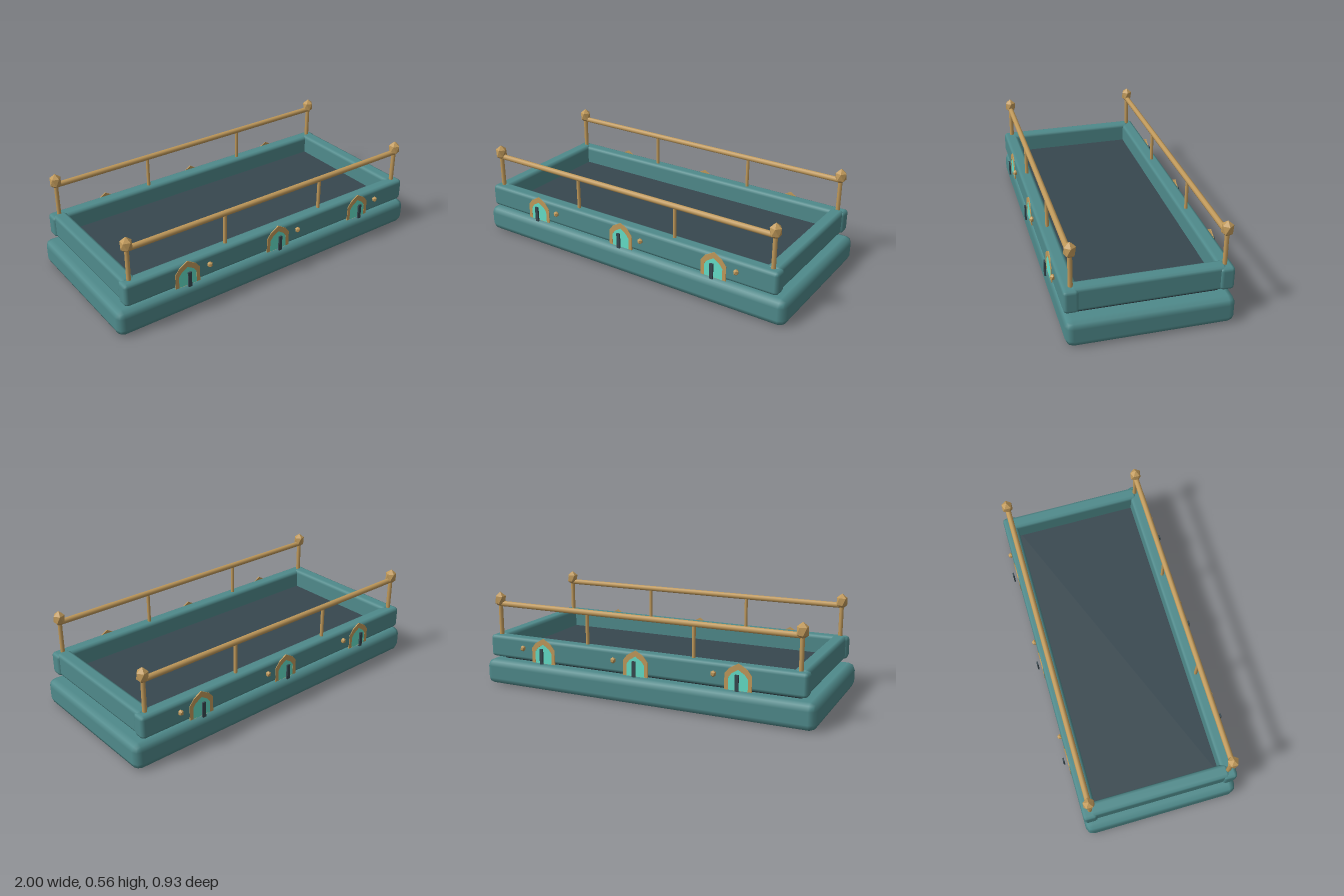
import * as THREE from 'three';
import { RoundedBoxGeometry } from 'three/addons/geometries/RoundedBoxGeometry.js';

const paint = (color, extra = {}) => new THREE.MeshStandardMaterial({ color, ...extra });

export function createModel() {
  const root = new THREE.Group();
  const teal = paint(0x4f8a8b);
  const slate = paint(0x37474f);
  const gold = paint(0xc19a5b);
  const facet = paint(0xc19a5b, { flatShading: true });
  const glass = paint(0x64dfc8);

  const add = (name, geometry, material, x, y, z, parent = root) => {
    const mesh = new THREE.Mesh(geometry, material);
    mesh.name = name;
    mesh.position.set(x, y, z);
    parent.add(mesh);
    return mesh;
  };
  // Box with a single-step bevel
  const bevelBox = (w, h, d, r) => new RoundedBoxGeometry(w, h, d, 1, r);

  // Twenty-sided gem standing on a vertex
  const gem = (rx, ry) => new THREE.IcosahedronGeometry(1, 0)
    .rotateZ(-Math.atan(2 / (1 + Math.sqrt(5)))).scale(rx, ry, rx);

  // Pointed arch outline, from the floor up
  const archPoints = (half, shoulder, peak) => [
    [-half, 0], [half, 0], [half, shoulder], [half * 0.68, shoulder + (peak - shoulder) * 0.5],
    [0, peak], [-half * 0.68, shoulder + (peak - shoulder) * 0.5], [-half, shoulder],
  ].map(([x, y]) => new THREE.Vector2(x, y));

  // Hull and deck
  add('base', bevelBox(2, 0.15, 0.88, 0.04), teal, 0, 0.075, 0);
  add('deck', bevelBox(1.83, 0.05, 0.75, 0.015), slate, 0, 0.175, 0);

  // Walls round the deck
  for (const s of [1, -1]) {
    add('sideWall', bevelBox(1.91, 0.13, 0.08, 0.02), teal, 0, 0.24, s * 0.4);
    add('endWall', bevelBox(0.08, 0.135, 0.8, 0.02), teal, s * 0.905, 0.2425, 0);
  }

  // Frame: an arch with a smaller arch cut through it
  const frameShape = new THREE.Shape(archPoints(0.075, 0.085, 0.145));
  frameShape.holes.push(new THREE.Path(archPoints(0.054, 0.065, 0.112).reverse()));
  const frameGeo = new THREE.ExtrudeGeometry(frameShape, { depth: 0.006, bevelEnabled: false });
  const paneGeo = new THREE.ExtrudeGeometry(new THREE.Shape(archPoints(0.056, 0.067, 0.114)),
    { depth: 0.003, bevelEnabled: false });

  const postGeo = new THREE.CylinderGeometry(0.0125, 0.0125, 0.2, 8);
  const midPostGeo = new THREE.CylinderGeometry(0.01, 0.01, 0.19, 8);
  const railGeo = new THREE.CylinderGeometry(0.016, 0.016, 1.81, 8).rotateZ(Math.PI / 2);
  const finialGeo = gem(0.035, 0.046);
  const knobGeo = gem(0.016, 0.018);

  for (const s of [1, -1]) {
    // Railing
    const railing = new THREE.Group();
    railing.name = s > 0 ? 'frontRailing' : 'backRailing';
    railing.position.z = s * 0.395;
    root.add(railing);
    add('handRail', railGeo, gold, 0, 0.487, 0, railing);
    for (const e of [1, -1]) {
      add('cornerPost', postGeo, gold, e * 0.905, 0.4, 0, railing);
      add('finial', finialGeo, facet, e * 0.905, 0.51, 0, railing);
      add('middlePost', midPostGeo, gold, e * 0.323, 0.39, 0, railing);
    }

    // Arched windows with a bar in front and a knob beside them
    for (const x of [-0.59, 0, 0.59]) {
      const arch = new THREE.Group();
      arch.name = 'archWindow';
      arch.position.set(x, 0.172, s * 0.437);
      root.add(arch);
      const turn = s > 0 ? 0 : Math.PI;
      add('frame', frameGeo, gold, 0, 0, 0, arch).rotation.y = turn;
      add('pane', paneGeo, glass, 0, 0, s * 0.002, arch).rotation.y = turn;
      add('bar', new THREE.BoxGeometry(0.02, 0.088, 0.009), slate, 0, 0.046, s * 0.025, arch);
      add('knob', knobGeo, facet, 0.135, 0.076, s * 0.01, arch);
    }
  }
  return root;
}
